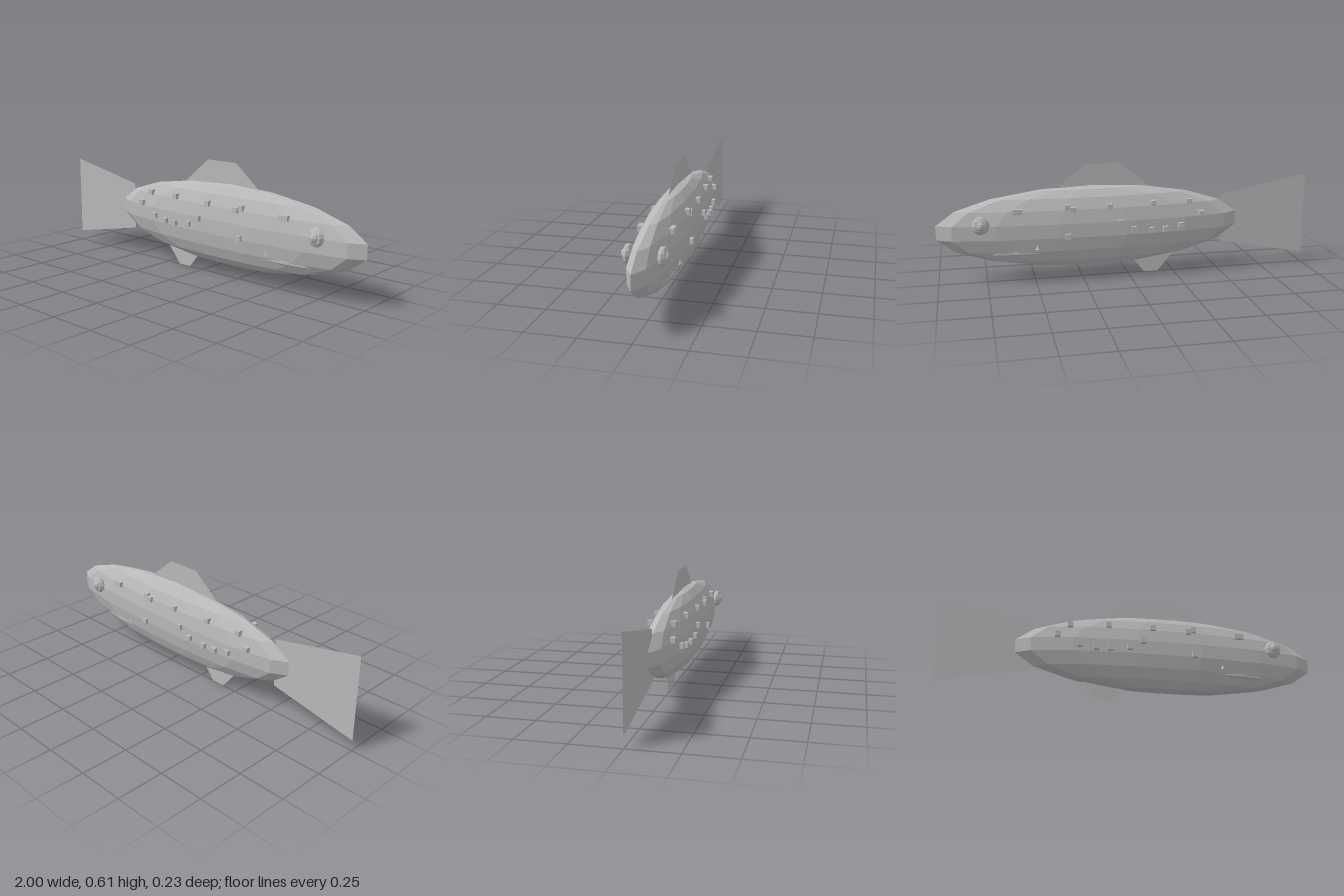
import * as THREE from 'three';

export function createModel() {
  const fish = new THREE.Group();
  const skin = new THREE.MeshStandardMaterial({ color: 0xb8b8b8, flatShading: true });
  skin.name = 'grey skin';
  const finSkin = new THREE.MeshStandardMaterial({ color: 0xb8b8b8, side: THREE.DoubleSide });
  finSkin.name = 'grey fin';

  const CX = 0.2, CY = 0.278, RX = 0.812, RY = 0.215, RZ = 0.1015;

  function add(name, geometry, x, y, z, material = skin) {
    const mesh = new THREE.Mesh(geometry, material);
    mesh.name = name;
    mesh.position.set(x, y, z);
    fish.add(mesh);
    return mesh;
  }
  const ellipsoid = (rx, ry, rz, w, h) => new THREE.SphereGeometry(1, w, h).scale(rx, ry, rz);

  // Half thickness of the body at a point on its side
  const sideZ = (x, y) =>
    RZ * 0.985 * Math.sqrt(Math.max(0, 1 - ((x - CX) / RX) ** 2 - ((y - CY) / RY) ** 2));

  // Long faceted body and the shallow mouth ridge along the lower front
  add('body', ellipsoid(RX, RY, RZ, 14, 9), CX, CY, 0);
  add('mouth', ellipsoid(0.27, 0.028, 0.078, 14, 7), 0.53, 0.165, 0);

  // Paper-thin fins in the middle plane
  function fin(name, points) {
    const shape = new THREE.Shape(points.map(([x, y]) => new THREE.Vector2(x, y)));
    add(name, new THREE.ShapeGeometry(shape), 0, 0, 0, finSkin);
  }
  fin('tailFin', [[-1, 0.055], [-0.515, 0.15], [-0.515, 0.41], [-1, 0.505]]);
  fin('dorsalFin', [[-0.15, 0.447], [0.41, 0.457], [0.23, 0.605], [0.04, 0.605]]);
  fin('bellyFin', [[-0.165, 0], [-0.09, 0], [0.0, 0.11], [-0.265, 0.12]]);

  // Scattered cube scales, the same on both sides
  const scales = [
    [-0.385, 0.33], [-0.32, 0.395], [-0.27, 0.275], [-0.185, 0.26], [-0.11, 0.26],
    [-0.12, 0.4], [-0.01, 0.27], [0.06, 0.31], [0.115, 0.395], [0.305, 0.387],
    [0.335, 0.4], [0.335, 0.25], [0.578, 0.387], [0.6, 0.387],
  ];
  const cube = new THREE.BoxGeometry(0.028, 0.028, 0.028);
  const eye = ellipsoid(0.045, 0.048, 0.024, 8, 6);
  const pupil = ellipsoid(0.024, 0.026, 0.024, 8, 6);
  const spike = new THREE.ConeGeometry(0.014, 0.03, 4);
  for (const [label, s] of [['left', 1], ['right', -1]]) {
    for (const [x, y] of scales) add(label + 'Scale', cube, x, y, s * (sideZ(x, y) + 0.003));
    add(label + 'Eye', eye, 0.775, 0.325, s * 0.08);
    add(label + 'Pupil', pupil, 0.775, 0.325, s * 0.09);
    add(label + 'SideSpike', spike, 0.49, 0.199, s * 0.085);
  }
  return fish;
}
